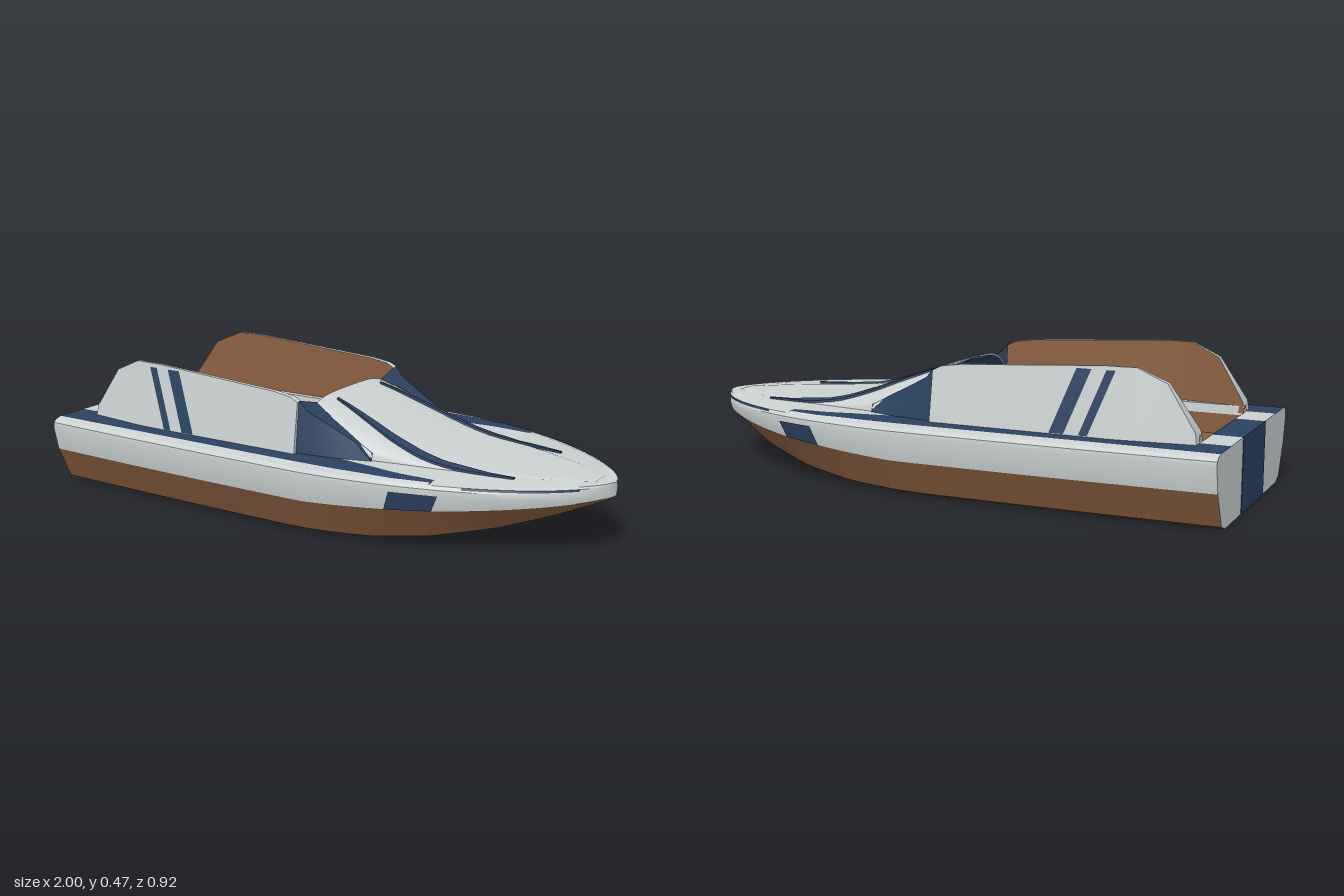
import * as THREE from 'three';
import { toCreasedNormals } from 'three/addons/utils/BufferGeometryUtils.js';

const mat = (name, color) => {
  const m = new THREE.MeshStandardMaterial({ color, side: THREE.DoubleSide });
  m.name = name;
  return m;
};

// piecewise linear curve through [x, value] pairs
const table = (...pts) => (x) => {
  if (x <= pts[0][0]) return pts[0][1];
  for (let i = 1; i < pts.length; i++) {
    const [a, va] = pts[i - 1], [b, vb] = pts[i];
    if (x <= b) return va + ((vb - va) * (x - a)) / (b - a);
  }
  return pts[pts.length - 1][1];
};

// hull lines
const width = (x) => {
  const t = (x - 0.05) / 0.95;
  return t > 0 ? 0.462 * Math.pow(Math.max(0, 1 - t * t), 0.63) : 0.462 - 0.02 * t * t;
};
const keelY = table([0, 0], [0.1, 0.002], [0.3, 0.012], [0.5, 0.037], [0.7, 0.082], [0.85, 0.13], [1, 0.185]);
const beltY = table([0.1, 0.13], [0.55, 0.155], [1, 0.19]);
const deckY = table([0.3, 0.25], [0.5, 0.247], [1, 0.235]);
const taper = (x) => Math.max(0, x) ** 2;

// foredeck hump
const humpW = table([0, 0.3], [0.2, 0.28], [0.4, 0.24], [0.5, 0.22], [0.8, 0.12], [0.95, 0.04]);
const humpH = table([0, 0.165], [0.1, 0.135], [0.2, 0.1], [0.3, 0.063], [0.4, 0.032], [0.48, 0.014], [0.6, 0.008], [0.95, 0.002]);
const humpY = (x, z) => deckY(x) + humpH(x) * Math.sqrt(Math.max(0, 1 - (z / humpW(x)) ** 4));

// section points, each giving [y, z] at x
const keel = (x) => [keelY(x), 0];
const bottom = (x) => [keelY(x), 0.74 * width(x) * (1 - 0.35 * taper(x))];
const chine = (x) => [keelY(x) + 0.015 * (1 - taper(x)), 0.83 * width(x) * (1 - 0.25 * taper(x))];
const belt = (x) => [beltY(x), 0.955 * width(x)];
const side = (x) => [deckY(x) - 0.035, width(x)];
const round = (x) => [deckY(x) - 0.017, 0.995 * width(x)];
const edge = (x) => [deckY(x) - 0.006, 0.965 * width(x)];
const stripeOut = table([-1, 0.4], [0, 0.41], [0.2, 0.408], [0.4, 0.393], [0.53, 0.36]);
const stripeIn = table([0, 0.28], [0.2, 0.31], [0.35, 0.33], [0.4, 0.335], [0.53, 0.33]);
const onDeck = (f) => (x) => [deckY(x), f(x)];
const fixed = (y, z) => () => [y, z];

const COCKPIT_FRONT = 0.15;
const stations = [-1, -0.9, -0.6, -0.3, COCKPIT_FRONT, 0.53];
for (let i = 0; i <= 30; i++) stations.push(Math.sin((i / 30) * Math.PI / 2));
stations.sort((a, b) => a - b);
const range = (a, b) => stations.filter((x) => x >= a - 1e-6 && x <= b + 1e-6);
const steps = (a, b, n) => Array.from({ length: n + 1 }, (_, i) => a + ((b - a) * i) / n);

// tall side walls, bent inwards at the stern end
const wingTop = table([-0.9, 0.25], [-0.895, 0.285], [-0.8, 0.43], [-0.7, 0.475], [-0.6, 0.475],
  [-0.3, 0.457], [-0.1, 0.445], [-0.03, 0.435], [0, 0.42], [0.001, 0.25]);
const wingBend = table([-0.9, 0.03], [-0.65, 0]);
const wingOut = (x, y) => 0.345 - 0.155 * (y - 0.25) - wingBend(x);
const wingIn = (x, y) => 0.278 + 0.09 * (y - 0.25) - wingBend(x);

export function createModel() {
  const boat = new THREE.Group();
  boat.name = 'speedboat';
  const white = mat('hullWhite', 0xcbd1d1);
  const brown = mat('warmBrown', 0x885d3f);
  const navy = mat('navyBlue', 0x2b4260);

  const add = (name, geometry, material) => {
    const mesh = new THREE.Mesh(geometry, material);
    mesh.name = name;
    boat.add(mesh);
    return mesh;
  };

  // lofts a mirrored pair of surfaces through section points along x
  const strip = (name, material, xs, fns) => {
    for (const s of [1, -1]) {
      const pos = [], idx = [], m = fns.length;
      xs.forEach((x, i) => fns.forEach((f, j) => {
        const [y, z, px = x] = f(x);
        pos.push(px, y, s * z);
        if (i && j) {
          const d = i * m + j, c = d - 1, b = d - m, a = b - 1;
          if (s > 0) idx.push(a, c, b, b, c, d);
          else idx.push(a, b, c, b, d, c);
        }
      }));
      const g = new THREE.BufferGeometry();
      g.setAttribute('position', new THREE.Float32BufferAttribute(pos, 3));
      g.setIndex(idx);
      add(name + (s > 0 ? 'Front' : 'Back'), toCreasedNormals(g, 0.55), material);
    }
  };

  // hull
  const all = range(-1, 1);
  strip('hullBottom', brown, all, [keel, bottom, chine, belt]);
  strip('hullSide', white, all, [belt, side, round, edge]);
  const onSide = (v) => (x) => {
    const px = x + 0.025 * v, a = belt(px), b = side(px);
    return [a[0] + (b[0] - a[0]) * v, a[1] + (b[1] - a[1]) * v + 0.004, px];
  };
  strip('bowPatch', navy, steps(0.39, 0.54, 6), [onSide(0.01), onSide(1)]);
  const onEdge = (v) => (x) => {
    const a = round(x), b = edge(x);
    return [a[0] + (b[0] - a[0]) * v + 0.002, a[1] + (b[1] - a[1]) * v + 0.002];
  };
  strip('bowEdgeLine', navy, range(0.6, 0.95), [onEdge(0.3), onEdge(0.9)]);

  // deck
  strip('deckEdge', white, range(-1, 0.53), [edge, onDeck(stripeOut)]);
  strip('deckStripe', navy, range(-1, 0.53), [onDeck(stripeOut), onDeck(stripeIn)]);
  strip('sideForedeck', white, range(0, COCKPIT_FRONT), [onDeck(stripeIn), onDeck((x) => 0.97 * humpW(x))]);
  strip('foredeck', white, range(COCKPIT_FRONT, 0.53), [onDeck(stripeIn), onDeck(() => 0)]);
  strip('bowDeck', white, range(0.53, 1), [edge, (x) => [deckY(x), 0.88 * width(x)], onDeck(() => 0)]);
  strip('aftDeck', white, [-1, -0.9], [fixed(0.25, 0.28), fixed(0.25, 0.14)]);
  strip('aftDeckStripe', navy, [-1, -0.9], [fixed(0.25, 0.14), fixed(0.25, 0)]);

  // transom
  const sectionPts = [bottom, chine, belt, side, round, edge].map((f) => f(-1));
  const outline = [...sectionPts.map(([y, z]) => [z, y]), [0.4, 0.25], [-0.4, 0.25],
    ...sectionPts.map(([y, z]) => [-z, y]).reverse()];
  const flat = (pts) => new THREE.ShapeGeometry(new THREE.Shape(pts.map((p) => new THREE.Vector2(...p)))).rotateY(-Math.PI / 2);
  add('transom', flat(outline), white).position.x = -1;
  add('transomStripe', new THREE.BoxGeometry(0.004, 0.249, 0.28), navy).position.set(-1, 0.126, 0);

  // cockpit, running on under the hump
  const pit = [-0.9, COCKPIT_FRONT];
  strip('cockpitRim', white, pit, [fixed(0.25, 0.28), fixed(0.272, 0.275), fixed(0.272, 0.252), fixed(0.24, 0.25)]);
  strip('cockpitWall', brown, pit, [fixed(0.24, 0.25), fixed(0.17, 0.25)]);
  strip('cockpitFloor', brown, pit, [fixed(0.17, 0.25), fixed(0.17, 0)]);
  add('cockpitRearWall', new THREE.BoxGeometry(0.006, 0.078, 0.5), white).position.set(-0.9, 0.21, 0);
  const arch = steps(-1, 1, 24).map((t) => [0.283 * t, humpY(COCKPIT_FRONT, 0.283 * t) - 0.004]);
  add('bulkhead', flat([[0.25, 0.17], [-0.25, 0.17], ...arch]), navy).position.x = COCKPIT_FRONT;

  // side walls, brown on the inside
  const wingX = [-0.9, -0.895, -0.8, -0.7, -0.65, -0.6, -0.3, -0.1, -0.03, 0, 0.001];
  const outer = (x) => [wingTop(x), wingOut(x, wingTop(x))];
  const inner = (x) => [wingTop(x), wingIn(x, wingTop(x))];
  strip('sideWall', white, wingX, [(x) => [0.248, wingOut(x, 0.248)], outer, inner]);
  strip('sideWallLining', brown, wingX, [inner, (x) => [0.248, wingIn(x, 0.248)]]);
  const slanted = (y, dx) => (x) => [y, wingOut(x + dx, y) + 0.003, x + dx];
  strip('narrowWallStripe', navy, [-0.635, -0.605], [slanted(0.253, 0.08), slanted(0.462, 0)]);
  strip('wideWallStripe', navy, [-0.555, -0.505], [slanted(0.253, 0.08), slanted(0.462, 0)]);

  // hump, its lining and its navy side fairings
  const humpX = [...range(0, 0.94), 0.95];
  const humpSection = (scale, drop) => steps(0, 1, 14).map((u) => {
    const t = Math.cos(u * Math.PI / 2);
    return (x) => [humpY(x, humpW(x) * t) - drop, humpW(x) * t * scale];
  });
  strip('foredeckHump', white, humpX, humpSection(1, 0));
  strip('humpLining', navy, range(0, COCKPIT_FRONT), humpSection(0.985, 0.006));
  const fairBase = table([0, 0.332], [0.15, 0.308], [0.26, 0.275]);
  const fairTopY = table([0, 0.425], [0.03, 0.392], [0.1, 0.355], [0.2, 0.305], [0.26, 0.252]);
  const fairTopZ = table([0, 0.31], [0.1, 0.29], [0.2, 0.275], [0.26, 0.27]);
  const fairIn = table([0, 0.205], [0.1, 0.237], [0.2, 0.258], [0.26, 0.262]);
  strip('sideFairing', navy, [0, 0.03, 0.065, 0.1, 0.15, 0.2, 0.26], [
    (x) => [0.25, fairBase(x)],
    (x) => [fairTopY(x), fairTopZ(x)],
    (x) => [humpY(x, fairIn(x)) + 0.002, fairIn(x)],
  ]);

  // curved ribs on the foredeck
  const ribZ = table([0.04, 0.137], [0.15, 0.157], [0.28, 0.18], [0.4, 0.192], [0.5, 0.195], [0.6, 0.19], [0.73, 0.175]);
  const rib = (k, lift) => (x) => {
    const u = (x - 0.04) / 0.69;
    const z = ribZ(x) + k * (0.004 + 0.016 * Math.sin(Math.PI * u));
    return [humpY(x, z) + lift, z];
  };
  strip('foredeckRib', navy, steps(0.04, 0.73, 24), [rib(1, -0.002), rib(0.85, 0.007), rib(-0.85, 0.007), rib(-1, -0.002)]);

  return boat;
}
